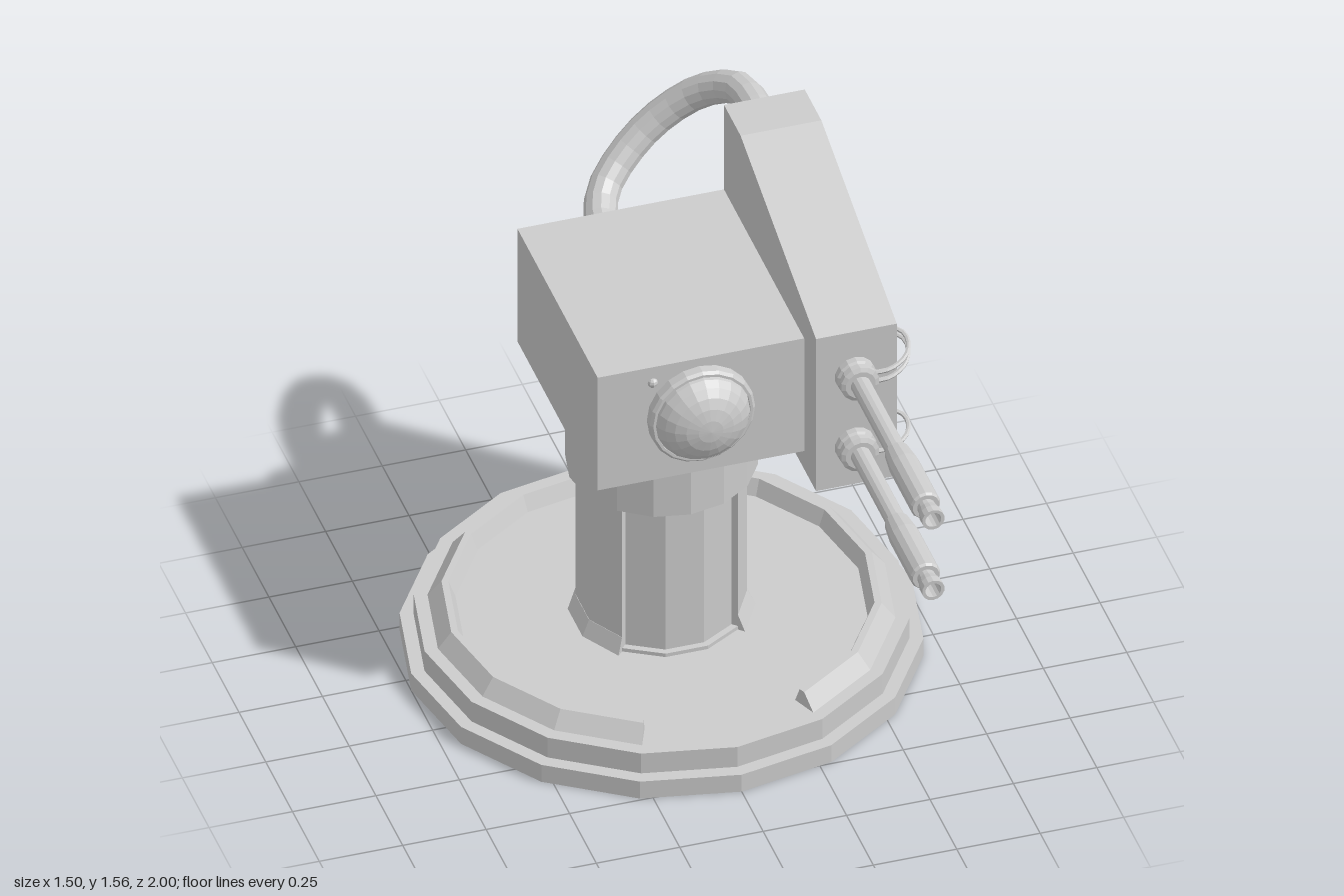
import * as THREE from 'three';

const RAD = Math.PI / 180;
const mat = new THREE.MeshStandardMaterial({ color: 0xcccccc, flatShading: true, side: THREE.DoubleSide });
const AXIS_Z = -0.2; // centre line of base and column

export function createModel() {
  const model = new THREE.Group();
  model.name = 'turret';

  const add = (parent, name, geometry, x = 0, y = 0, z = 0) => {
    const mesh = new THREE.Mesh(geometry, mat);
    mesh.name = name;
    mesh.position.set(x, y, z);
    parent.add(mesh);
    return mesh;
  };
  const pts = (list) => list.map(([a, b]) => new THREE.Vector2(a, b));
  // Turned profile of [radius, height]; angle 0 is the front
  const turned = (profile, sides, start = 0, sweep = 360) =>
    new THREE.LatheGeometry(pts(profile), sides, start * RAD, sweep * RAD);
  // Turned profile pointing along +z (dir 1) or -z (dir -1)
  const turnedZ = (profile, sides, dir = 1) => turned(profile, sides).rotateX(dir * 90 * RAD);
  // Part-turned profile with closed ends
  const addArc = (parent, name, profile, sides, start, sweep) => {
    add(parent, name, turned(profile, sides, start, sweep), 0, 0, AXIS_Z);
    for (const a of [start, start + sweep]) {
      const end = new THREE.ShapeGeometry(new THREE.Shape(pts(profile))).rotateY((a - 90) * RAD);
      add(parent, name + 'End', end, 0, 0, AXIS_Z);
    }
  };

  // Base: hollow stepped plate with a raised rim, open at the front
  const base = new THREE.Group();
  base.name = 'base';
  model.add(base);
  add(base, 'basePlate', turned([[0.75, 0], [0.75, 0.06], [0.71, 0.06], [0.71, 0.13], [0.67, 0.13]], 16), 0, 0, AXIS_Z);
  add(base, 'baseFloor', turned([[0.59, 0.13], [0, 0.13]], 16), 0, 0, AXIS_Z);
  add(base, 'rimGapFloor', turned([[0.67, 0.13], [0.59, 0.13]], 2, -22.5, 45), 0, 0, AXIS_Z);
  addArc(base, 'rim', [[0.67, 0.13], [0.63, 0.18], [0.61, 0.18], [0.59, 0.13]], 14, 22.5, 315);

  // Column: core with an outer skin that leaves a recessed front panel
  const column = new THREE.Group();
  column.name = 'column';
  model.add(column);
  add(column, 'recessedPanel', turned([[0.225, 0.13], [0.225, 0.66]], 12, 15), 0, 0, AXIS_Z);
  addArc(column, 'columnSkin', [[0.225, 0.13], [0.245, 0.13], [0.245, 0.66], [0.225, 0.66]], 9, 45, 270);
  for (const [name, y0, y1] of [['panelSill', 0.13, 0.142], ['panelHead', 0.63, 0.66]]) {
    addArc(column, name, [[0.225, y0], [0.245, y0], [0.245, y1], [0.225, y1], [0.225, y0]], 3, -45, 90);
  }
  addArc(column, 'footFlare', [[0.24, 0.13], [0.268, 0.13], [0.246, 0.18], [0.24, 0.18]], 9, 45, 270);
  add(column, 'collar', turned([[0.22, 0.65], [0.276, 0.65], [0.276, 0.86]], 16), 0, 0, AXIS_Z);

  // Head box
  const head = new THREE.Group();
  head.name = 'head';
  model.add(head);
  add(head, 'headBox', new THREE.BoxGeometry(0.62, 0.4, 0.75), 0.005, 1.06, -0.22);

  // Side housing with sloped top: outline in (z, y), extruded along x
  const outline = new THREE.Shape(pts([[-0.265, 0.795], [0.595, 0.795], [0.595, 1.56], [0.44, 1.56], [-0.265, 1.335]]));
  const housing = new THREE.ExtrudeGeometry(outline, { depth: 0.242, bevelEnabled: false });
  add(head, 'sideHousing', housing.rotateY(90 * RAD).scale(1, 1, 1), 0.314, 0, 0);

  // Domed sensor and its bezel
  add(head, 'sensorBezel', turnedZ([[0.158, 0], [0.158, 0.03], [0.15, 0.038], [0.142, 0.038], [0.142, 0.02]], 20), 0, 1.075, 0.153);
  const dome = [];
  for (let i = 0; i <= 6; i++) {
    const a = i * 15 * RAD;
    dome.push([0.143 * Math.cos(a), 0.092 * Math.sin(a)]);
  }
  add(head, 'sensorDome', turnedZ(dome, 20), 0, 1.075, 0.175);
  add(head, 'indicator', new THREE.SphereGeometry(0.016, 8, 6), -0.14, 1.205, 0.153);

  // Two barrels with collars, sleeves and hollow muzzles
  const barrelProfile = [
    [0.06, 0.26], [0.06, 0.285], [0.053, 0.29], [0.053, 0.3], [0.058, 0.303], [0.058, 0.316], [0.045, 0.322], [0.03, 0.322],
    [0.03, 0.66], [0.037, 0.66], [0.045, 0.73], [0.045, 0.925], [0.04, 0.933], [0.027, 0.933], [0.028, 0.95],
    [0.034, 0.975], [0.034, 1], [0.024, 1], [0.024, 0.94], [0, 0.94],
  ];
  for (const [name, y] of [['upperBarrel', 1.185], ['lowerBarrel', 0.935]]) {
    add(model, name, turnedZ(barrelProfile, 14), 0.43, y, 0);
  }

  // Thin cables looping from the barrel collars to the housing side
  const cables = [[1.195, 1.25], [1.165, 1.23], [0.915, 0.957]];
  for (const [y0, y1] of cables) {
    const path = new THREE.CatmullRomCurve3([
      [0.46, 0, 0.287], [0.53, 0.08, 0.29], [0.585, 0.4, 0.262], [0.604, 0.75, 0.215], [0.588, 1, 0.182], [0.545, 1, 0.175],
    ].map(([x, t, z]) => new THREE.Vector3(x, y0 + (y1 - y0) * t, z)));
    add(model, 'barrelCable', new THREE.TubeGeometry(path, 14, 0.007, 6));
  }

  // Rear hose with its two couplings
  add(model, 'headCoupling', turnedZ([
    [0.127, 0], [0.127, 0.065], [0.118, 0.077], [0.088, 0.077], [0.088, 0.09], [0.08, 0.1], [0, 0.1],
  ], 18, -1), 0, 1.078, -0.593);
  add(model, 'housingCoupling', turnedZ([[0.062, 0], [0.062, 0.03], [0.055, 0.038], [0, 0.038]], 14, -1), 0.434, 1.466, -0.595);
  const hosePath = new THREE.CatmullRomCurve3([
    [0, 1.08, -0.67], [0.002, 1.082, -0.77], [0.05, 1.125, -0.886], [0.19, 1.25, -0.951],
    [0.335, 1.378, -0.91], [0.42, 1.453, -0.8], [0.434, 1.466, -0.7], [0.434, 1.466, -0.61],
  ].map((p) => new THREE.Vector3(...p)));
  add(model, 'hose', new THREE.TubeGeometry(hosePath, 16, 0.049, 12));

  return model;
}
